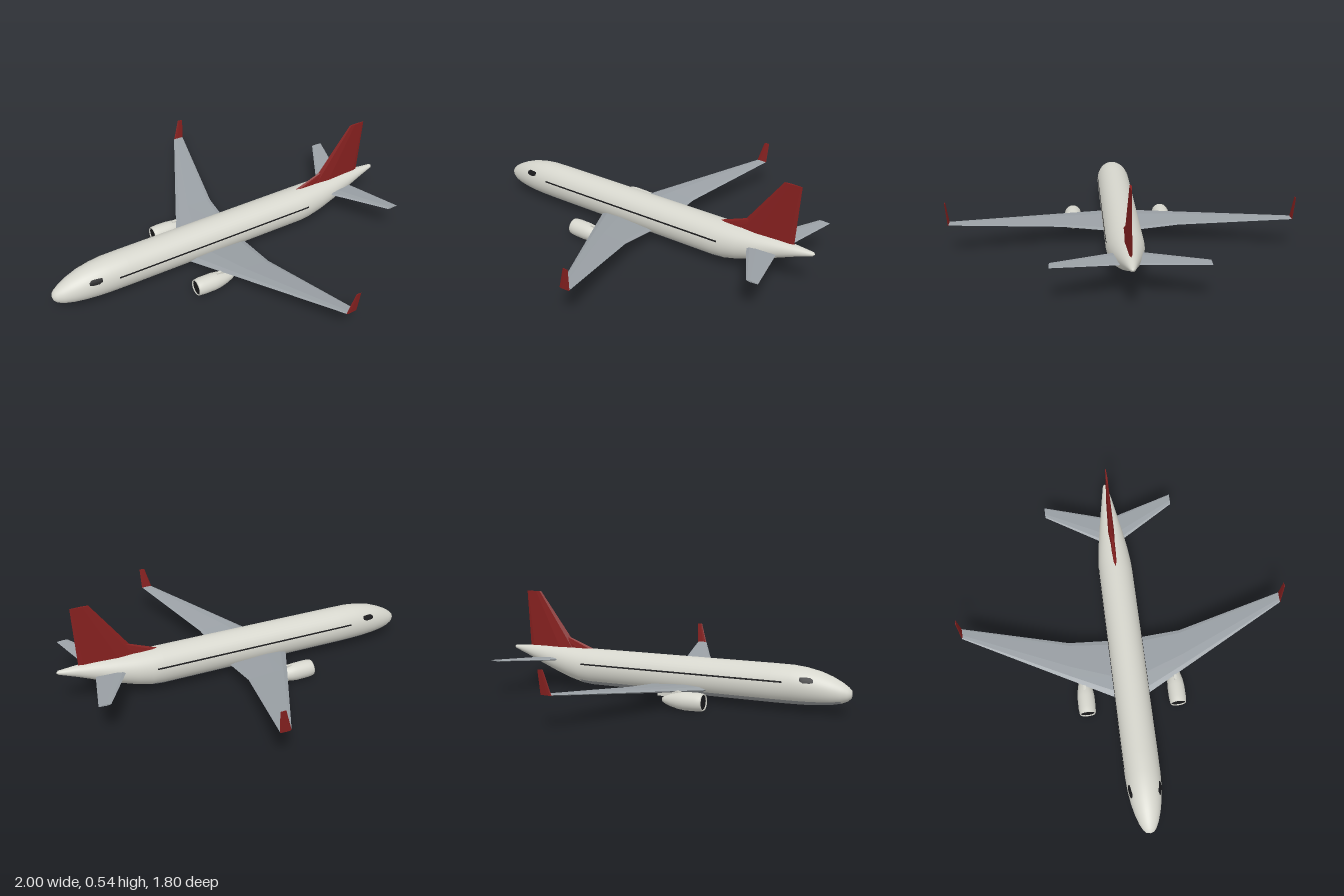
import * as THREE from 'three';

const paint = (name, color, side = THREE.FrontSide, flatShading = false) => {
  const m = new THREE.MeshStandardMaterial({ color, side, flatShading });
  m.name = name;
  return m;
};

// Fuselage stations: x, bottom, top, half width
const STATIONS = [
  [-1, 0.105, 0.105, 0], [-0.995, 0.085, 0.125, 0.02], [-0.98, 0.07, 0.14, 0.034],
  [-0.95, 0.056, 0.16, 0.05], [-0.9, 0.045, 0.185, 0.067], [-0.84, 0.038, 0.207, 0.081],
  [-0.77, 0.033, 0.222, 0.09], [-0.7, 0.031, 0.23, 0.094], [-0.6, 0.03, 0.231, 0.095],
  [0.46, 0.03, 0.231, 0.095], [0.52, 0.036, 0.231, 0.093], [0.6, 0.056, 0.231, 0.085],
  [0.7, 0.09, 0.231, 0.069], [0.8, 0.128, 0.23, 0.05], [0.9, 0.168, 0.226, 0.03],
  [0.99, 0.2, 0.22, 0.012], [1, 0.21, 0.21, 0],
];

// Point on the fuselage skin at station x, angle a (0 = side, PI/2 = top)
function skin([x, low, high, w], a, out = 0) {
  const c = (low + high) / 2, h = (high - low) / 2;
  return [x, c + (h + out) * Math.sin(a), (w + out) * Math.cos(a)];
}
function stationAt(x) {
  const i = Math.max(1, STATIONS.findIndex(s => s[0] >= x));
  const p = STATIONS[i - 1], q = STATIONS[i], t = (x - p[0]) / (q[0] - p[0]);
  return p.map((v, k) => v + (q[k] - v) * t);
}
function geometry(positions, index) {
  const g = new THREE.BufferGeometry();
  g.setAttribute('position', new THREE.Float32BufferAttribute(positions, 3));
  g.setIndex(index);
  g.computeVertexNormals();
  return g;
}

// Round hull, with the cells of the underside in a second material group
function hullGeometry() {
  const N = 40, pos = [], upper = [], belly = [];
  STATIONS.forEach(s => {
    for (let j = 0; j < N; j++) pos.push(...skin(s, (j / N) * Math.PI * 2));
  });
  for (let i = 0; i < STATIONS.length - 1; i++) {
    const mid = (STATIONS[i][0] + STATIONS[i + 1][0]) / 2;
    for (let j = 0; j < N; j++) {
      const k = (j + 1) % N, a = i * N + j, b = i * N + k, c = a + N, d = b + N;
      const under = j >= 25 && j < 35 && mid > -0.95 && mid < 0.5;
      (under ? belly : upper).push(a, c, b, b, c, d);
    }
  }
  const g = geometry(pos, [...upper, ...belly]);
  g.addGroup(0, upper.length, 0);
  g.addGroup(upper.length, belly.length, 1);
  return g;
}

// Thin painted patch lying on the hull; rows are [x, lower y, upper y]
function patchGeometry(rows, side) {
  const pos = [], index = [];
  rows.forEach(([x, y0, y1], i) => {
    const s = stationAt(x), c = (s[1] + s[2]) / 2, h = (s[2] - s[1]) / 2;
    for (let k = 0; k < 4; k++) {
      const y = y0 + ((y1 - y0) * k) / 3;
      const p = skin(s, Math.asin((y - c) / h), 0.002);
      pos.push(p[0], p[1], p[2] * side);
    }
    if (i) for (let k = 0; k < 3; k++) {
      const a = (i - 1) * 4 + k, b = a + 4;
      if (side > 0) index.push(a, b, a + 1, a + 1, b, b + 1);
      else index.push(a, a + 1, b, a + 1, b + 1, b);
    }
  });
  return geometry(pos, index);
}

// Aerofoil loft; sections are [leading x, trailing x, y, z, half thickness]
const FOIL = [[0, 0], [0.1, 0.7], [0.35, 1], [0.92, 0.4], [1, 0], [0.92, -0.4], [0.35, -1], [0.1, -0.7]];
function foilGeometry(sections, upright, side = 1) {
  const pos = [], index = [], n = FOIL.length;
  const tri = (a, b, c) => (side > 0 ? index.push(a, b, c) : index.push(a, c, b));
  sections.forEach(([x0, x1, y, z, t]) => FOIL.forEach(([u, v]) => {
    pos.push(x0 + u * (x1 - x0), y + (upright ? 0 : v * t), side * (z - (upright ? v * t : 0)));
  }));
  for (let i = 0; i < sections.length - 1; i++) {
    for (let j = 0; j < n; j++) {
      const k = (j + 1) % n, a = i * n + j, b = i * n + k;
      tri(a, a + n, b);
      tri(b, a + n, b + n);
    }
  }
  const e = (sections.length - 1) * n;
  for (let j = 1; j < n - 1; j++) {
    tri(0, j, j + 1);
    tri(e, e + j + 1, e + j);
  }
  return geometry(pos, index);
}

export function createModel() {
  const white = paint('hullWhite', 0xd6d6cd);
  const nacelleWhite = white;
  const bellyGrey = paint('bellyGrey', 0x9a9d9f);
  const wingGrey = paint('wingGrey', 0x9aa0a5, THREE.FrontSide, true);
  const red = paint('tailRed', 0x85201f, THREE.FrontSide, true);
  const dark = paint('windowDark', 0x1a1a1c, THREE.DoubleSide);

  const model = new THREE.Group();
  model.name = 'airliner';
  const add = (name, geo, mat, parent = model) => {
    const mesh = new THREE.Mesh(geo, mat);
    mesh.name = name;
    parent.add(mesh);
    return mesh;
  };

  add('fuselage', hullGeometry(), [white, bellyGrey]);

  // Vertical tail with its low forward fillet
  add('fin', foilGeometry([[0.55, 0.885, 0.2, 0, 0.018], [0.81, 0.905, 0.54, 0, 0.005]], true), red);
  add('finFillet', foilGeometry([[0.45, 0.76, 0.225, 0, 0.012], [0.62, 0.76, 0.288, 0, 0.008]], true), red);

  for (const side of [1, -1]) {
    const label = side > 0 ? 'left' : 'right';

    // Wing with a kinked trailing edge, upturned tip and tailplane
    add(label + 'Wing', foilGeometry([
      [-0.293, 0.085, 0.066, 0, 0.022], [-0.245, 0.085, 0.076, 0.093, 0.02],
      [-0.134, 0.09, 0.101, 0.31, 0.013], [0.163, 0.222, 0.165, 0.888, 0.004],
    ], false, side), wingGrey);
    add(label + 'Winglet', foilGeometry([
      [0.163, 0.224, 0.162, 0.888, 0.004], [0.2, 0.23, 0.282, 0.9, 0.002],
    ], true, side), red);
    add(label + 'Tailplane', foilGeometry([
      [0.62, 0.8, 0.16, 0, 0.011], [0.66, 0.82, 0.165, 0.065, 0.01], [0.837, 0.9, 0.19, 0.363, 0.004],
    ], false, side), wingGrey);

    // Cabin window line and cockpit window
    add(label + 'CabinWindows', patchGeometry([[-0.665, 0.151, 0.159], [-0.6, 0.151, 0.159],
      [0.46, 0.151, 0.159], [0.5, 0.151, 0.159]], side), dark);
    add(label + 'CockpitWindow', patchGeometry([[-0.82, 0.16, 0.172], [-0.805, 0.156, 0.182],
      [-0.77, 0.157, 0.184], [-0.752, 0.166, 0.182]], side), dark);

    // Engine: hollow-lipped nacelle, dark intake and pylon
    const engine = new THREE.Group();
    engine.name = label + 'Engine';
    engine.position.set(-0.315, 0.049, side * 0.25);
    engine.rotation.z = -0.02;
    model.add(engine);
    const profile = [[0.035, 0.03], [0.038, 0.004], [0.041, 0], [0.044, 0.006], [0.047, 0.035],
      [0.047, 0.1], [0.043, 0.135], [0.034, 0.175], [0.022, 0.21], [0.012, 0.228], [0, 0.23]]
      .map(([r, y]) => new THREE.Vector2(r, y));
    add('nacelle', new THREE.LatheGeometry(profile, 28).rotateZ(-Math.PI / 2), nacelleWhite, engine);
    const intake = add('intake', new THREE.CircleGeometry(0.038, 28).rotateY(-Math.PI / 2), dark, engine);
    intake.position.x = 0.006;
    const pylon = add('pylon', new THREE.BoxGeometry(0.13, 0.03, 0.014), nacelleWhite, engine);
    pylon.position.set(0.19, 0.034, 0);
  }
  return model;
}
